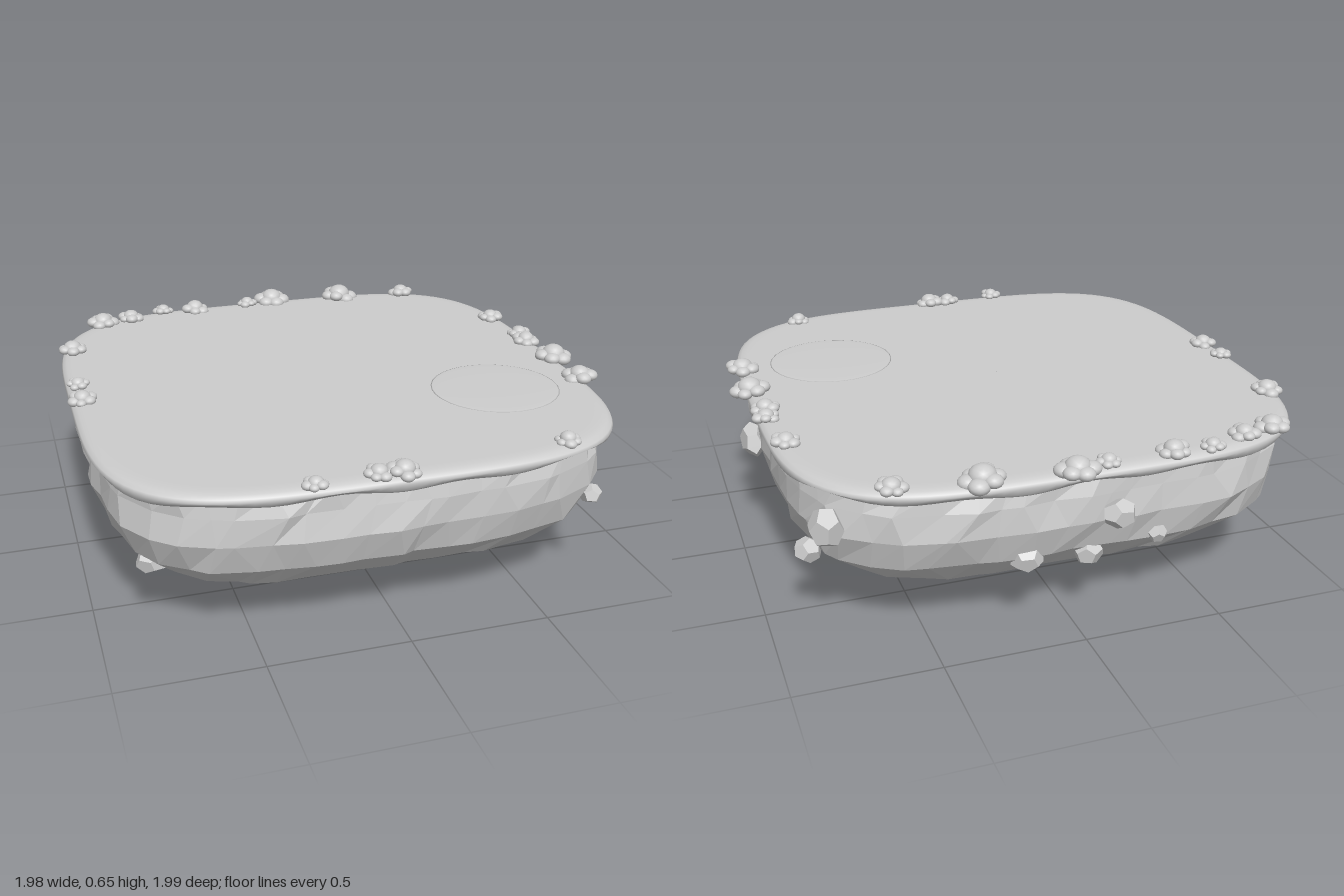
import * as THREE from 'three';

const stone = new THREE.MeshStandardMaterial({ color: 0xcccccc });
stone.name = 'pale grey';

const CX = -0.025, CZ = 0.01, HALF = 0.955;

function seeded(seed) {
  return () => {
    seed = (seed * 16807) % 2147483647;
    return seed / 2147483647;
  };
}

// Radius of a rounded-square outline at an angle
const outline = (t, n = 4) =>
  HALF * Math.pow(Math.abs(Math.cos(t)) ** n + Math.abs(Math.sin(t)) ** n, -1 / n);

// Skin a stack of rings listed from bottom to top; point(ring, segment) gives [x, y, z]
function loft(rings, segments, point) {
  const positions = [], index = [];
  for (let i = 0; i < rings; i++)
    for (let j = 0; j < segments; j++) positions.push(...point(i, j));
  for (let i = 0; i < rings - 1; i++)
    for (let j = 0; j < segments; j++) {
      const k = (j + 1) % segments;
      const a = i * segments + j, b = i * segments + k;
      index.push(a, a + segments, b, b, a + segments, b + segments);
    }
  const g = new THREE.BufferGeometry();
  g.setAttribute('position', new THREE.Float32BufferAttribute(positions, 3));
  g.setIndex(index);
  g.computeVertexNormals();
  return g;
}

// Faceted rock bowl under the turf
function rockBase() {
  const rand = seeded(41);
  const rows = [[0.001, 0.003], [0.39, 0.04], [0.65, 0.11], [0.835, 0.19],
    [0.93, 0.285], [0.965, 0.395], [0.955, 0.49], [0.94, 0.57]];
  const segments = 60;
  const g = loft(rows.length, segments, (i, j) => {
    const wobble = i > 0 ? 1 : 0;
    const t = ((j + wobble * (rand() - 0.5) * 0.7) / segments) * Math.PI * 2;
    const r = outline(t) * (rows[i][0] + wobble * (rand() - 0.5) * 0.022);
    return [CX + r * Math.cos(t), rows[i][1], CZ + r * Math.sin(t)];
  }).toNonIndexed();
  g.computeVertexNormals();
  return g;
}

// Smooth flat top with a rounded, gently wavy lip
function turfCap() {
  const rows = [[0.93, 0.56], [0.955, 0.547], [0.98, 0.55], [0.995, 0.562], [1, 0.575],
    [0.995, 0.586], [0.98, 0.595], [0.96, 0.599], [0.93, 0.6], [0.6, 0.6], [0.001, 0.6]];
  const segments = 144;
  return loft(rows.length, segments, (i, j) => {
    const t = (j / segments) * Math.PI * 2;
    const r = outline(t) * rows[i][0];
    const wave = i < 4 ? 0.007 * Math.sin(t * 15) + 0.004 * Math.sin(t * 7 + 1) : 0;
    return [CX + r * Math.cos(t), rows[i][1] + wave, CZ + r * Math.sin(t)];
  });
}

export function createModel() {
  const model = new THREE.Group();
  model.name = 'floatingIsland';
  const add = (name, geometry, parent = model) => {
    const mesh = new THREE.Mesh(geometry, stone);
    mesh.name = name;
    parent.add(mesh);
    return mesh;
  };

  add('rockBase', rockBase());
  add('turfCap', turfCap());

  // Barely raised mound on the turf
  const mound = add('mound', new THREE.SphereGeometry(1, 32, 8, 0, Math.PI * 2, 0, Math.PI / 2));
  mound.scale.set(0.24, 0.005, 0.24);
  mound.position.set(0.56, 0.6, 0.34);

  // Bushes along the rim: x, z, radius
  const bushes = [
    [-0.755, -0.815, 0.065], [-0.63, -0.845, 0.055], [-0.48, -0.9, 0.045], [-0.34, -0.89, 0.06],
    [-0.1, -0.9, 0.045], [0.02, -0.925, 0.075], [0.33, -0.89, 0.08], [0.62, -0.86, 0.055],
    [-0.915, -0.51, 0.06], [-0.935, -0.12, 0.045], [-0.935, 0.03, 0.053],
    [0.87, -0.405, 0.052], [0.9, -0.175, 0.05], [0.89, -0.09, 0.055], [0.915, 0.11, 0.075],
    [0.91, 0.34, 0.065], [0.595, 0.86, 0.048], [-0.315, 0.94, 0.045], [-0.1, 0.92, 0.05],
    [-0.015, 0.925, 0.06],
  ];
  const puff = new THREE.IcosahedronGeometry(1, 2);
  const rand = seeded(7);
  for (const [x, z, r] of bushes) {
    const bush = new THREE.Group();
    bush.name = 'bush';
    bush.position.set(x, 0.608, z);
    bush.rotation.y = rand() * Math.PI * 2;
    const core = add('bushPuff', puff, bush);
    core.scale.set(r * 0.6, r * 0.5, r * 0.6);
    core.position.y = r * 0.12;
    for (let k = 0; k < 6; k++) {
      const a = (k / 6) * Math.PI * 2;
      const s = r * (0.36 + rand() * 0.12);
      const lobe = add('bushPuff', puff, bush);
      lobe.scale.set(s, s * 0.72, s);
      lobe.position.set(Math.cos(a) * r * 0.6, (rand() - 0.5) * r * 0.25, Math.sin(a) * r * 0.6);
    }
    model.add(bush);
  }

  // Loose boulders set in the sides: position, then half sizes
  const boulders = [
    [0.915, 0.39, 0.14, 0.05, 0.065, 0.09], [0.74, 0.35, 0.79, 0.042, 0.036, 0.052],
    [0.85, 0.285, -0.59, 0.05, 0.043, 0.055], [0.81, 0.435, -0.735, 0.06, 0.072, 0.072],
    [-0.13, 0.43, -0.94, 0.062, 0.052, 0.052], [0.17, 0.28, -0.87, 0.06, 0.05, 0.05],
    [-0.06, 0.255, -0.85, 0.055, 0.05, 0.05], [-0.3, 0.3, -0.88, 0.036, 0.036, 0.036],
    [-0.8, 0.25, 0.64, 0.06, 0.045, 0.05],
  ];
  for (const [x, y, z, sx, sy, sz] of boulders) {
    const g = new THREE.DodecahedronGeometry(1);
    g.rotateX(rand() * 3).rotateY(rand() * 3);
    g.scale(sx, sy, sz);
    add('boulder', g).position.set(x, y, z);
  }
  return model;
}
